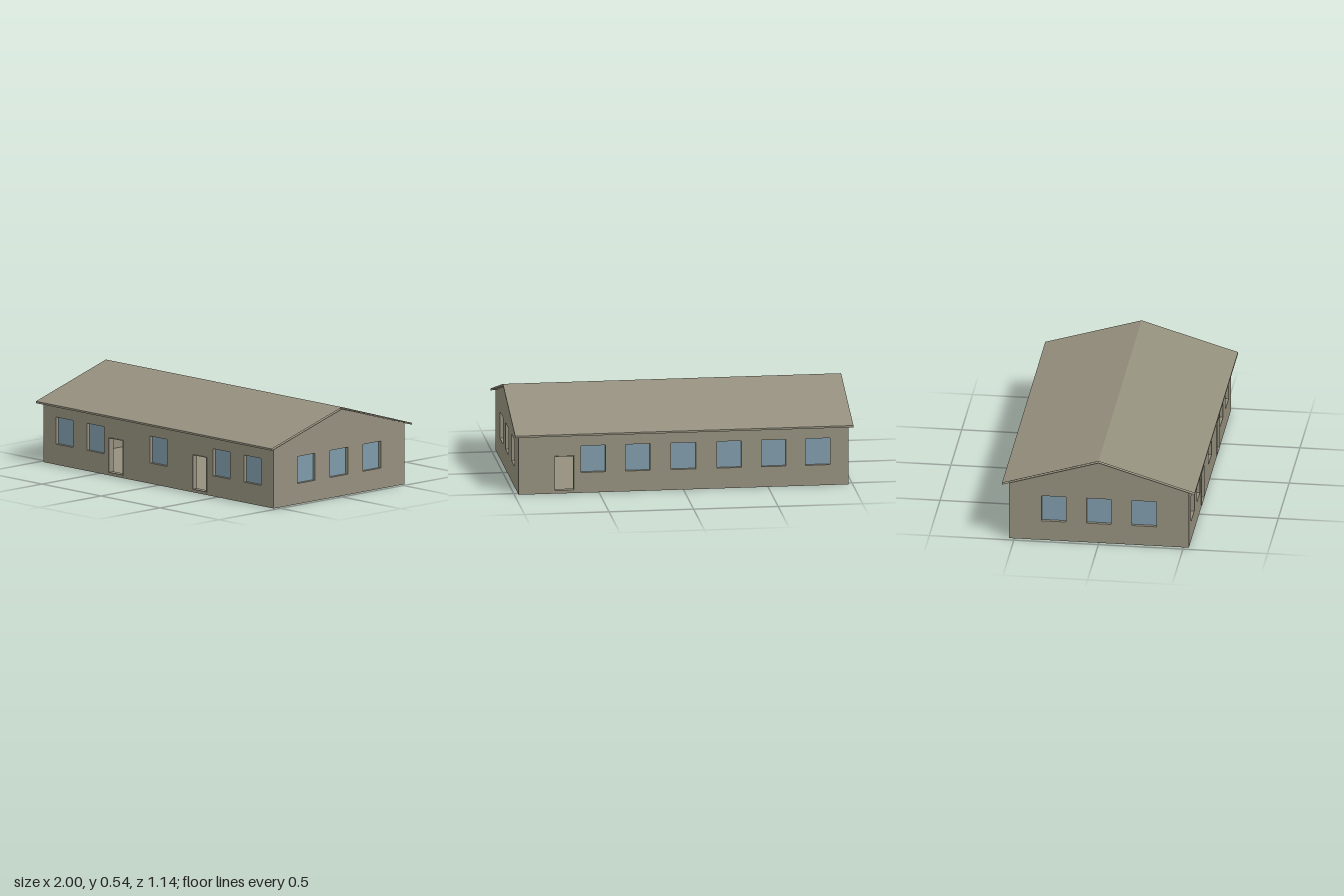
import * as THREE from 'three';

const plaster = new THREE.MeshStandardMaterial({ color: 0x948f7d, side: THREE.DoubleSide });
plaster.name = 'taupe plaster';
const glass = new THREE.MeshStandardMaterial({ color: 0x7e9aa9 });
glass.name = 'blue glass';

const HALF_X = 0.975, HALF_Z = 0.532, EAVE = 0.372, RIDGE = 0.526;
const THICK = 0.03;
const WIN = { w: 0.145, y0: 0.123, y1: 0.284 };
const DOOR = { w: 0.116, y0: 0.018, y1: 0.226 };

// Rectangle outline centred on u, usable as a shape or a hole
function rect(u, { w, y0, y1 }, grow = 0) {
  const a = u - w / 2 - grow, b = u + w / 2 + grow;
  const pts = [[a, y0 - grow], [b, y0 - grow], [b, y1 + grow], [a, y1 + grow]];
  return pts.map(([x, y]) => new THREE.Vector2(x, y));
}

function addMesh(parent, name, geometry, material) {
  const mesh = new THREE.Mesh(geometry, material);
  mesh.name = name;
  parent.add(mesh);
  return mesh;
}

// One wall: outer face on local z = 0, with recessed panes and framed door openings
function makeWall(name, outline, windows, doors) {
  const wall = new THREE.Group();
  wall.name = name;
  const shape = new THREE.Shape(outline.map(([x, y]) => new THREE.Vector2(x, y)));
  for (const u of windows) shape.holes.push(new THREE.Path(rect(u, WIN)));
  for (const u of doors) shape.holes.push(new THREE.Path(rect(u, DOOR)));
  const body = new THREE.ExtrudeGeometry(shape, { depth: THICK, bevelEnabled: false });
  addMesh(wall, 'wallPanel', body.translate(0, 0, -THICK), plaster);

  for (const u of windows) {
    const pane = new THREE.BoxGeometry(WIN.w, WIN.y1 - WIN.y0, 0.006);
    addMesh(wall, 'windowPane', pane, glass).position.set(u, (WIN.y0 + WIN.y1) / 2, -0.023);
  }
  for (const u of doors) {
    const frame = new THREE.Shape(rect(u, DOOR, 0.001));
    frame.holes.push(new THREE.Path(rect(u, DOOR, -0.002)));
    const geo = new THREE.ExtrudeGeometry(frame, { depth: THICK + 0.006, bevelEnabled: false });
    addMesh(wall, 'doorFrame', geo.translate(0, 0, -THICK), plaster);
  }
  return wall;
}

// Folded roof sheet with thin eave edges, open at the gable ends
function makeRoof() {
  const profile = [[0.57, 0.354], [0.57, 0.365], [0, 0.537], [-0.57, 0.365], [-0.57, 0.354], [0, 0.526]];
  const pos = [];
  profile.forEach(([z0, y0], i) => {
    const [z1, y1] = profile[(i + 1) % profile.length];
    pos.push(-1, y0, z0, 1, y0, z0, 1, y1, z1);
    pos.push(-1, y0, z0, 1, y1, z1, -1, y1, z1);
  });
  const geo = new THREE.BufferGeometry();
  geo.setAttribute('position', new THREE.Float32BufferAttribute(pos, 3));
  geo.computeVertexNormals();
  return geo;
}

export function createModel() {
  const house = new THREE.Group();
  house.name = 'longHouse';

  // Long walls sit between the gable walls
  const lx = HALF_X - 0.0005;
  const longOutline = [[-lx, 0], [lx, 0], [lx, EAVE - 0.001], [-lx, EAVE - 0.001]];
  const front = makeWall('frontWall', longOutline, [-0.797, -0.535, 0, 0.533, 0.795], [-0.357, 0.352]);
  front.position.z = HALF_Z;
  const back = makeWall('backWall', longOutline, [-0.533, -0.27, 0, 0.27, 0.533, 0.795], [-0.705]);
  back.position.z = -HALF_Z;
  back.rotation.y = Math.PI;
  house.add(front, back);

  // Matching gable walls
  const gz = HALF_Z - 0.0005;
  const gableOutline = [[-gz, 0], [gz, 0], [gz, EAVE], [0, RIDGE], [-gz, EAVE]];
  for (const side of [1, -1]) {
    const gable = makeWall(side > 0 ? 'leftGableWall' : 'rightGableWall', gableOutline, [-0.267, 0, 0.267], []);
    gable.position.x = side * HALF_X;
    gable.rotation.y = side * Math.PI / 2;
    house.add(gable);
  }

  // Floor slab and roof
  const floor = new THREE.BoxGeometry(2 * HALF_X - 0.002, 0.012, 2 * HALF_Z - 0.002);
  addMesh(house, 'floor', floor, plaster).position.y = 0.006;
  addMesh(house, 'roof', makeRoof(), plaster);
  return house;
}
